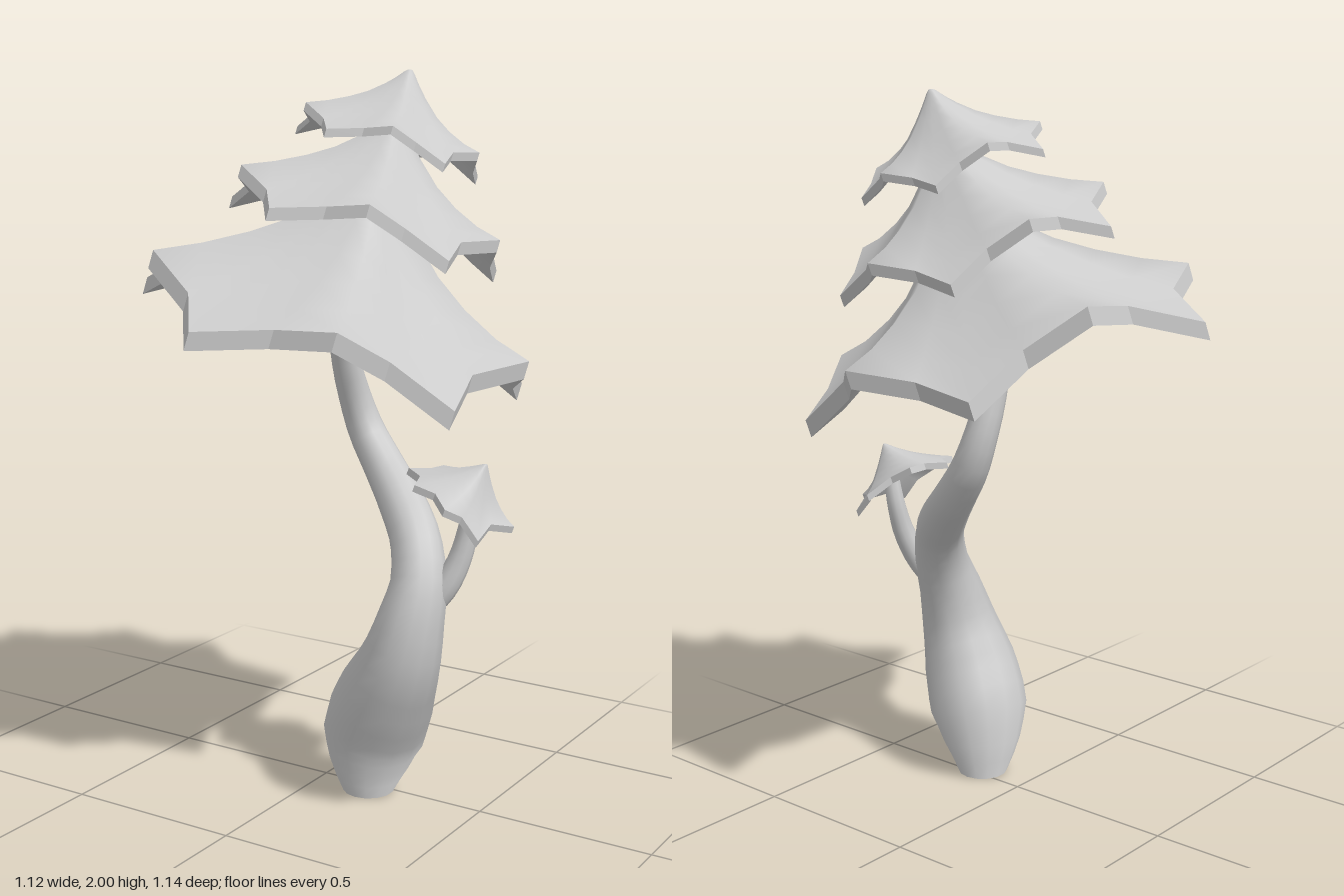
import * as THREE from 'three';
import { mergeGeometries } from 'three/addons/utils/BufferGeometryUtils.js';

const material = new THREE.MeshStandardMaterial({ color: 0xcccccc });
const vec = (p) => new THREE.Vector3(...p);

// Tube through points [x, y, z, radius], flat on the ground at its start
function stalk(points, sides, segments) {
  const curve = new THREE.CatmullRomCurve3(points.map((p) => vec(p.slice(0, 3))));
  const geo = new THREE.TubeGeometry(curve, segments, 1, sides, false);
  const pos = geo.attributes.position;
  const v = new THREE.Vector3();
  for (let i = 0; i <= segments; i++) {
    const centre = curve.getPointAt(i / segments);
    const t = curve.getUtoTmapping(i / segments) * (points.length - 1);
    const k = Math.min(Math.floor(t), points.length - 2);
    const radius = THREE.MathUtils.lerp(points[k][3], points[k + 1][3], t - k);
    for (let j = 0; j <= sides; j++) {
      const n = i * (sides + 1) + j;
      v.fromBufferAttribute(pos, n).sub(centre).multiplyScalar(radius).add(centre);
      if (i === 0) v.y = centre.y;
      pos.setXYZ(n, v.x, v.y, v.z);
    }
  }
  return geo;
}

// Indexed triangles to plain ones, with normals smoothed over shared vertices or flat
function surface(positions, index, smooth) {
  let geo = new THREE.BufferGeometry();
  geo.setAttribute('position', new THREE.Float32BufferAttribute(positions, 3));
  geo.setIndex(index);
  if (smooth) geo.computeVertexNormals();
  geo = geo.toNonIndexed();
  if (!smooth) geo.computeVertexNormals();
  return geo;
}

// Star-edged cap: rings shrink from the rim to a rounded apex along a concave profile,
// once for the top and once, offset by the drop vector, for the underside.
// The star softens towards the apex; a flat band closes the rim.
const PROFILE = [[0, 1], [0.03, 0.992], [0.06, 0.955], [0.1, 0.885], [0.16, 0.785], [0.25, 0.65],
  [0.42, 0.43], [0.6, 0.26], [0.8, 0.11], [1, 0]];
function starCap(rim, apex, drop) {
  const n = rim.length, rows = PROFILE.length;
  const star = rim.map(vec);
  const soft = star.map((p, i) => p.clone().multiplyScalar(2)
    .add(star[(i + 1) % n]).add(star[(i + n - 1) % n]).multiplyScalar(0.25));
  const positions = [], shell = [], band = [];
  for (const offset of [[0, 0, 0], drop]) {
    for (const [t, h] of PROFILE) {
      for (let i = 0; i < n; i++) {
        const p = soft[i].clone().lerp(star[i], t);
        positions.push(
          apex[0] + (p.x - apex[0]) * t + offset[0],
          p.y + (apex[1] - p.y) * h + offset[1],
          apex[2] + (p.z - apex[2]) * t + offset[2]);
      }
    }
  }
  // One shared point at the very top of each side
  for (const [start, y] of [[0, apex[1]], [rows * n, apex[1] + drop[1]]]) {
    for (let i = 0; i < n; i++) positions[(start + i) * 3 + 1] = y;
  }
  const under = rows * n;
  for (let r = 0; r < rows; r++) {
    for (let i = 0; i < n; i++) {
      const j = (i + 1) % n;
      const a = r * n + i, b = r * n + j;
      const c = a + n, d = b + n;
      if (r === rows - 1) band.push(a, a + under, b + under, a, b + under, b);
      else if (r === 0) shell.push(0, c, d, under, under + d, under + c);
      else shell.push(a, c, d, a, d, b, under + a, under + d, under + c, under + a, under + b, under + d);
    }
  }
  return mergeGeometries([surface(positions, shell, true), surface(positions, band, false)]);
}

// Rim of the largest tier: tips and notches alternate, seen as a tilted ten-pointed star
const RIM = [
  [-0.555, 1.42, 0.087], [-0.38, 1.48, 0.195], [-0.322, 1.53, 0.352], [-0.17, 1.43, 0.402],
  [-0.053, 1.355, 0.557], [0.125, 1.36, 0.442], [0.305, 1.365, 0.432], [0.375, 1.28, 0.295],
  [0.525, 1.16, 0.23], [0.5, 1.23, 0.088], [0.552, 1.24, -0.135], [0.44, 1.18, -0.3],
  [0.385, 1.12, -0.44], [0.215, 1.25, -0.46], [0.095, 1.31, -0.57], [-0.075, 1.29, -0.495],
  [-0.28, 1.27, -0.525], [-0.315, 1.38, -0.36], [-0.443, 1.49, -0.267], [-0.433, 1.47, -0.085],
];
const RIM_HEIGHT = 1.29;

// Tips of the small cap; its notches lie between them, pulled inwards
const SMALL_TIPS = [
  [0.262, 0.94, -0.005], [0.345, 0.925, 0.11], [0.455, 0.88, 0.145], [0.52, 0.79, 0.08],
  [0.558, 0.805, -0.055], [0.505, 0.78, -0.135], [0.42, 0.85, -0.175], [0.315, 0.935, -0.105],
];

export function createModel() {
  const group = new THREE.Group();
  const add = (name, geo, parent = group) => {
    const mesh = new THREE.Mesh(geo, material);
    mesh.name = name;
    parent.add(mesh);
    return mesh;
  };

  // Swollen, winding main stem
  add('mainStem', stalk([
    [0.16, 0, 0.03, 0.072], [0.167, 0.09, 0.035, 0.112], [0.19, 0.2, 0.046, 0.147],
    [0.24, 0.31, 0.067, 0.138], [0.288, 0.42, 0.077, 0.113], [0.31, 0.53, 0.062, 0.094],
    [0.312, 0.63, 0.025, 0.078], [0.275, 0.73, -0.025, 0.071], [0.2, 0.81, -0.085, 0.067],
    [0.1, 0.9, -0.148, 0.059], [0.025, 0.99, -0.175, 0.053], [-0.007, 1.08, -0.167, 0.047],
    [-0.018, 1.2, -0.13, 0.041], [-0.012, 1.32, -0.1, 0.037], [0.03, 1.52, -0.1, 0.03],
  ], 14, 36));
  const base = add('stemBase', new THREE.CircleGeometry(0.072, 14));
  base.rotation.x = Math.PI / 2;
  base.position.set(0.16, 0, 0.03);

  // Three tiers of the cap: one star shape at shrinking sizes, the upper ones tipped back
  const cap = new THREE.Group();
  cap.name = 'tieredCap';
  group.add(cap);
  const tierGeo = starCap(RIM, [0.09, 1.737, -0.14], [-0.01, -0.048, 0.01]);
  tierGeo.translate(0, -RIM_HEIGHT, 0);
  [
    ['lowerTier', 1, 0, RIM_HEIGHT, 0, 0, 0],
    ['middleTier', 0.686, 0.082, 1.58, -0.038, -0.08, 0.05],
    ['topTier', 0.46, 0.135, 1.799, -0.08, -0.08, 0.05],
  ].forEach(([name, scale, x, y, z, tiltX, tiltZ]) => {
    const tier = add(name, tierGeo, cap);
    tier.scale.setScalar(scale);
    tier.position.set(x, y, z);
    tier.rotation.set(tiltX, 0, tiltZ);
  });

  // Small side mushroom
  add('sideStem', stalk([
    [0.345, 0.57, 0.02, 0.036], [0.385, 0.63, -0.003, 0.036], [0.413, 0.71, -0.03, 0.032],
    [0.428, 0.8, -0.047, 0.027], [0.45, 0.9, -0.045, 0.022],
  ], 10, 12));
  const centre = new THREE.Vector3(0.425, 0.875, -0.018);
  const smallRim = SMALL_TIPS.flatMap((tip, i) => {
    const next = vec(SMALL_TIPS[(i + 1) % SMALL_TIPS.length]);
    const notch = vec(tip).lerp(next, 0.5).lerp(centre, 0.16);
    return [tip, [notch.x, notch.y + 0.01, notch.z]];
  });
  add('sideCap', starCap(smallRim, [0.48, 0.97, -0.04], [-0.006, -0.018, 0.002]));

  return group;
}
